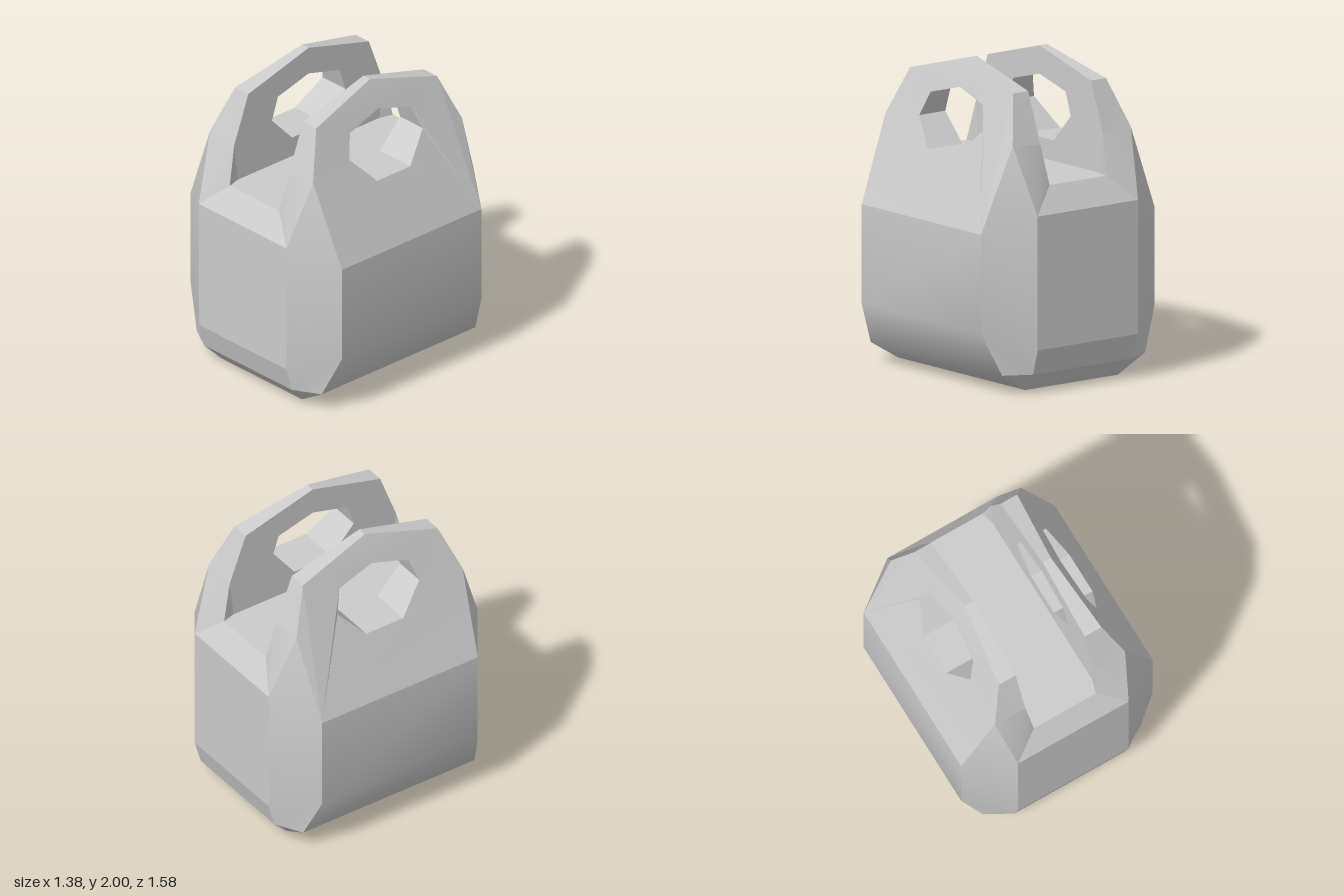
import * as THREE from 'three';
import { toCreasedNormals } from 'three/addons/utils/BufferGeometryUtils.js';

// Corner points of the +x, +z quarter
const sideTop = [0.69, 1.02, 0.59], sideLow = [0.69, 0.39, 0.59];
const foot = [0.57, 0.12, 0.65], base = [0.37, 0, 0.63];
const frontTop = [0.4, 1.13, 0.79], frontLow = [0.4, 0.28, 0.79], frontFoot = [0.4, 0.12, 0.745];
const lip = [0.225, 1.29, 0.69], floorEdge = [0.25, 1.29, 0.6];
const outerRim = [[0.47, 1.56, 0.63], [0.37, 1.86, 0.51], [0.31, 2, 0]];
const innerRim = [[0.25, 1.54, 0.63], [0.25, 1.86, 0.51], [0.25, 2, 0]];
const hole = [[-0.14, 1.42], [0.14, 1.42], [0.31, 1.6], [0.26, 1.75], [0, 1.82], [-0.26, 1.75], [-0.31, 1.6]];

// Triangle-list helpers
const flip = (p, axis) => p.map((v, i) => (i === axis ? -v : v));
const fan = (...pts) => pts.slice(2).map((p, i) => [pts[0], pts[i + 1], p]);
const mirror = (tris, axis) => tris.map(t => t.map(p => flip(p, axis)).reverse());
const both = (tris, axis) => [...tris, ...mirror(tris, axis)];

function mesh(name, tris, crease = 0.1) {
  const geometry = new THREE.BufferGeometry();
  geometry.setAttribute('position', new THREE.Float32BufferAttribute(tris.flat(2), 3));
  const part = new THREE.Mesh(toCreasedNormals(geometry, crease), new THREE.MeshStandardMaterial({ color: 0xcccccc }));
  part.name = name;
  return part;
}

// x of the outer handle face at height y
function outerX(y) {
  const line = [sideTop, ...outerRim];
  let i = 0;
  while (i < line.length - 2 && y > line[i + 1][1]) i++;
  const [a, b] = [line[i], line[i + 1]];
  return a[0] + (b[0] - a[0]) * (y - a[1]) / (b[1] - a[1]);
}

// Symmetric handle wall with the grip hole; place maps (u, v) into space
function wall(halfOutline, place) {
  const right = halfOutline.map(([, y, z]) => new THREE.Vector2(z, y));
  const left = right.slice(0, -1).reverse().map(p => new THREE.Vector2(-p.x, p.y));
  const shape = new THREE.Shape([...right, ...left]);
  shape.holes.push(new THREE.Path(hole.map(p => new THREE.Vector2(...p))));
  const g = new THREE.ShapeGeometry(shape).toNonIndexed().attributes.position;
  const tris = [];
  for (let i = 0; i < g.count; i += 3) {
    tris.push([0, 1, 2].map(k => place(g.getX(i + k), g.getY(i + k))));
  }
  return tris;
}

export function createModel() {
  const bag = new THREE.Group();
  bag.name = 'bag';

  // Sides and underside in one smooth sweep
  const half = [sideTop, sideLow, foot, base];
  const profile = [...half, ...half.map(p => flip(p, 0)).reverse()];
  const sweep = profile.slice(1).flatMap((p, i) =>
    fan(p, flip(p, 2), flip(profile[i], 2), profile[i]));
  bag.add(mesh('sidesAndBottom', sweep, 0.7));

  // Front and back panels
  const levels = [base, frontFoot, frontLow, frontTop, lip];
  const panels = levels.slice(1).flatMap((p, i) =>
    fan(flip(levels[i], 0), levels[i], p, flip(p, 0)));
  bag.add(mesh('endPanels', both(panels, 2)));

  // Chamfered corners rising into the handle shoulders
  const corner = [
    ...fan(base, foot, frontFoot),
    ...fan(frontFoot, foot, sideLow, frontLow),
    ...fan(frontLow, sideLow, sideTop, frontTop),
    ...fan(frontTop, sideTop, outerRim[0], innerRim[0], lip),
  ];
  bag.add(mesh('corners', both(both(corner, 0), 2), 0.3));

  // Floor of the opening between the handles
  const quarter = [lip, floorEdge];
  const right = [...quarter, ...quarter.map(p => flip(p, 2)).reverse()];
  bag.add(mesh('openingFloor', fan(...right, ...right.map(p => flip(p, 0)).reverse())));

  // Handles: outer wall, inner wall, rim and grip hole
  const outer = wall([sideTop, ...outerRim], (u, v) => [outerX(v), v, -u]);
  const inner = wall([floorEdge, ...innerRim], (u, v) => [0.25, v, u]);
  const innerCorner = [[floorEdge, lip, innerRim[0]]];
  const rim = [0, 1].flatMap(i => fan(innerRim[i], outerRim[i], outerRim[i + 1], innerRim[i + 1]));
  const grip = hole.flatMap(([u, v], i) => {
    const [u2, v2] = hole[(i + 1) % hole.length];
    return fan([outerX(v), v, -u], [outerX(v2), v2, -u2], [0.25, v2, -u2], [0.25, v, -u]);
  });
  const handle = [...outer, ...inner, ...both([...innerCorner, ...rim], 2), ...grip];
  bag.add(mesh('leftHandle', handle), mesh('rightHandle', mirror(handle, 0)));

  return bag;
}
